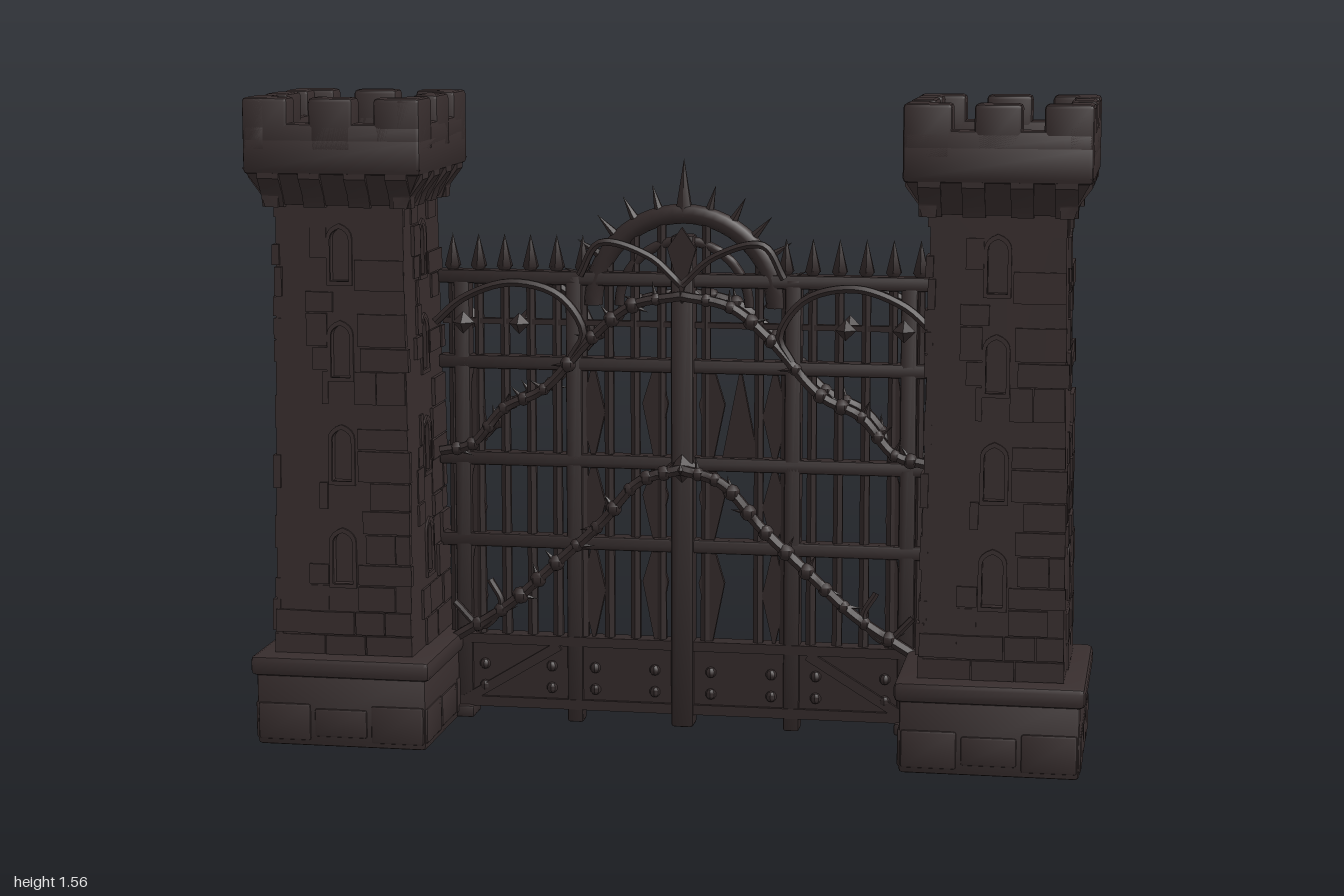
import * as THREE from 'three';
import { mergeGeometries, toCreasedNormals } from 'three/addons/utils/BufferGeometryUtils.js';
import { RoundedBoxGeometry } from 'three/addons/geometries/RoundedBoxGeometry.js';

const stone = new THREE.MeshStandardMaterial({ color: 0x372d2d });
stone.name = 'dark stone';
const iron = new THREE.MeshStandardMaterial({ color: 0x322929 });
iron.name = 'dark iron';

let seed = 7;
const rnd = () => (seed = (seed * 16807) % 2147483647) / 2147483647;
const range = (a, b) => a + (b - a) * rnd();
const flat = g => (g.index ? g.toNonIndexed() : g);
const join = (list, crease = 0.6) => toCreasedNormals(mergeGeometries(list.map(flat)), crease);
const box = (w, h, d, x, y, z) => new THREE.BoxGeometry(w, h, d).translate(x, y, z);
const block = (w, h, d, x, y, z, r = 0.01) => new RoundedBoxGeometry(w, h, d, 1, r).translate(x, y, z);

function add(group, name, geometry, material) {
  const mesh = new THREE.Mesh(geometry, material);
  mesh.name = name;
  group.add(mesh);
  return mesh;
}

// Arched window outline centred on x = 0
function arch(path, y0, w, h) {
  path.moveTo(-w, y0);
  path.lineTo(-w, y0 + h - w);
  path.quadraticCurveTo(-w, y0 + h - w * 0.3, 0, y0 + h);
  path.quadraticCurveTo(w, y0 + h - w * 0.3, w, y0 + h - w);
  path.lineTo(w, y0);
  path.closePath();
  return path;
}

const WINDOWS = [0.395, 0.645, 0.895, 1.125];
const H = 0.178, Y0 = 0.2, Y1 = 1.36;

// Tapered shaft: wall panels with recessed windows and uneven masonry
function shaftGeometry() {
  const parts = [box(2 * H - 0.044, Y1 - Y0, 2 * H - 0.044, 0, (Y0 + Y1) / 2, 0)];
  for (let k = 0; k < 4; k++) {
    const turn = g => parts.push(g.rotateY(k * Math.PI / 2));
    const wall = new THREE.Shape();
    wall.moveTo(-H, Y0); wall.lineTo(H, Y0); wall.lineTo(H, Y1); wall.lineTo(-H, Y1); wall.closePath();
    for (const y of WINDOWS) wall.holes.push(arch(new THREE.Path(), y, 0.026, 0.125));
    turn(new THREE.ExtrudeGeometry(wall, { depth: 0.024, bevelEnabled: false, curveSegments: 4 }).translate(0, 0, H - 0.024));
    // window surrounds
    for (const y of WINDOWS) {
      const frame = arch(new THREE.Shape(), y - 0.01, 0.036, 0.147);
      frame.holes.push(arch(new THREE.Path(), y, 0.026, 0.125));
      turn(new THREE.ExtrudeGeometry(frame, { depth: 0.01, bevelEnabled: false, curveSegments: 4 }).translate(0, 0, H - 0.004));
    }
    // stones
    for (let y = 0.22; y < 1.3;) {
      const h = range(0.05, 0.085);
      const beside = WINDOWS.some(w => y < w + 0.14 && y + h > w - 0.012);
      for (let u = -H - 0.004; u < H - 0.03;) {
        let e = Math.min(u + range(0.07, 0.14), H + 0.004);
        if (H - e < 0.03) e = H + 0.004;
        const next = e;
        let s = u;
        if (beside) {
          if (s < -0.038 && e > -0.038) e = -0.038;
          else if (s < 0.038) s = 0.038;
        }
        if (e - s > 0.02 && rnd() < 0.72) {
          const out = range(0.002, 0.01);
          turn(box(e - s - 0.004, h - 0.004, 0.02, (s + e) / 2, y + h / 2, H - 0.01 + out)
            .rotateZ(range(-0.008, 0.008)));
        }
        u = next;
      }
      y += h;
    }
  }
  const g = join(parts, 0.5), p = g.attributes.position;
  for (let i = 0; i < p.count; i++) {
    const f = 1 - 0.09 * (p.getY(i) - Y0) / (Y1 - Y0);
    p.setX(i, p.getX(i) * f * 0.95);
    p.setZ(i, p.getZ(i) * f * 1.04);
  }
  return toCreasedNormals(g, 0.5);
}

// Stepped footing
function baseGeometry() {
  const parts = [block(0.42, 0.19, 0.45, 0, 0.095, 0), block(0.444, 0.05, 0.476, 0, 0.196, 0, 0.014)];
  for (const s of [-1, 1]) for (let i = 0; i < 3; i++) {
    parts.push(block(0.13, range(0.07, 0.1), 0.02, (i - 1) * 0.14, 0.06, s * 0.22, 0.006));
    parts.push(block(0.02, range(0.07, 0.1), 0.14, s * 0.204, 0.06, (i - 1) * 0.15, 0.006));
  }
  return join(parts);
}

// Flared crown with corbels, parapet and merlons
function crownGeometry() {
  const R = 0.215, q = Math.SQRT2, parts = [];
  parts.push(new THREE.CylinderGeometry(R * q, 0.165 * q, 0.09, 4, 1).rotateY(Math.PI / 4).translate(0, 1.35, 0));
  parts.push(block(2 * R, 0.09, 2 * R, 0, 1.425, 0));
  const corbel = new THREE.Shape([[0.14, 1.3], [0.172, 1.3], [0.182, 1.33], [0.212, 1.37], [0.212, 1.4], [0.14, 1.4]]
    .map(a => new THREE.Vector2(...a)));
  for (let k = 0; k < 4; k++) {
    const turn = g => parts.push(g.rotateY(k * Math.PI / 2));
    turn(block(2 * R, 0.07, 0.062, 0, 1.465, R - 0.031));
    turn(block(0.108, 0.13, 0.062, 0, 1.495, R - 0.031));
    for (const s of [-1, 1]) turn(block(0.112, 0.13, 0.062, s * (R - 0.056), 1.495, R - 0.031));
    for (const u of [-0.155, -0.055, 0.055, 0.155]) {
      turn(new THREE.ExtrudeGeometry(corbel, { depth: 0.052, bevelEnabled: false })
        .translate(0, 0, -0.026).rotateY(-Math.PI / 2).translate(u, 0, 0));
    }
  }
  return join(parts).scale(1, 1, 1.085);
}

// Thin vertical blade, pointed at both ends
function blade(x, y0, y1, w, z, widest = 0.4) {
  const ym = y0 + (y1 - y0) * widest;
  const s = new THREE.Shape([[x, y0], [x + w, ym], [x, y1], [x - w, ym]].map(a => new THREE.Vector2(...a)));
  return new THREE.ExtrudeGeometry(s, { depth: 0.016, bevelEnabled: false }).translate(0, 0, z - 0.008);
}

const tube = (pts, r, n = 24) =>
  new THREE.TubeGeometry(new THREE.CatmullRomCurve3(pts.map(p => new THREE.Vector3(...p))), n, r, 6);

// Thorny vine: a wavering tube with knots and thorns
function vine(pts, r) {
  const curve = new THREE.CatmullRomCurve3(pts.map(p => new THREE.Vector3(...p)));
  const parts = [new THREE.TubeGeometry(curve, 36, r, 6)];
  for (let i = 1; i < 12; i++) {
    const c = curve.getPoint(i / 12);
    parts.push(new THREE.SphereGeometry(r * range(1.2, 1.6), 6, 5).translate(c.x, c.y, c.z));
    parts.push(new THREE.ConeGeometry(r * 0.7, 0.045, 5).translate(0, 0.022, 0)
      .rotateZ(range(-2, 2)).translate(c.x, c.y, c.z));
  }
  return parts;
}

const Z = -0.13;

function createGate() {
  const gate = new THREE.Group();
  gate.name = 'gate';

  // Cross rails
  const rails = [1.11, 0.9, 0.66, 0.455].map(y => block(1.22, 0.034, 0.045, 0, y, Z, 0.006));
  rails.push(box(1.2, 0.014, 0.02, 0, 1.0, Z), box(1.2, 0.024, 0.05, 0, 0.205, Z));
  add(gate, 'crossRails', join(rails), iron);

  // Pickets with spear tips
  const pickets = [];
  for (const s of [-1, 1]) for (let i = 0; i < 9; i++) {
    const x = s * (0.575 - i * 0.065), outer = i < 6;
    const top = outer ? 1.15 : 1.05 + Math.sqrt(0.05 - x * x) - 0.01;
    if (!(s > 0 && i === 7)) pickets.push(new THREE.CylinderGeometry(0.012, 0.014, top - 0.18, 6).translate(x, (top + 0.18) / 2, Z));
    if (outer) {
      pickets.push(new THREE.ConeGeometry(0.021, 0.08, 6).translate(x, 1.175, Z));
      pickets.push(new THREE.ConeGeometry(0.021, 0.03, 6).rotateX(Math.PI).translate(x, 1.122, Z));
    }
  }
  add(gate, 'pickets', join(pickets, 0.9), iron);

  // Heavy uprights reaching the ground
  const posts = [block(0.056, 1.22, 0.06, 0, 0.61, Z, 0.008)];
  for (const s of [-1, 1]) {
    posts.push(block(0.04, 1.12, 0.045, s * 0.27, 0.56, Z, 0.006), block(0.04, 1.08, 0.045, s * 0.55, 0.56, Z, 0.006));
    posts.push(block(0.05, 0.03, 0.08, s * 0.55, 0.02, Z, 0.006));
  }
  posts.push(new THREE.OctahedronGeometry(0.045).translate(0, 1.07, Z), new THREE.OctahedronGeometry(0.045).translate(0, 0.65, Z + 0.02));
  add(gate, 'uprights', join(posts), iron);

  // Ragged blades filling parts of the bays
  const blades = [];
  for (const s of [-1, 1]) for (const [y0, y1] of [[0.2, 0.47], [0.44, 0.67], [0.65, 0.91]]) {
    blades.push(blade(s * 0.07, y0, y1, 0.032, Z, 0.6), blade(s * 0.225, y0, y1, 0.03, Z, 0.5));
    blades.push(blade(s * 0.52, y0, y1, 0.024, Z, 0.4));
  }
  blades.push(blade(0.14, 0.65, 0.9, 0.045, Z, 0.08));
  add(gate, 'blades', join(blades), iron);

  // Bottom kick panel with braces and rivets
  const panel = [box(1.18, 0.16, 0.03, 0, 0.12, Z), box(1.18, 0.025, 0.05, 0, 0.045, Z)];
  for (const s of [-1, 1]) {
    panel.push(box(0.28, 0.024, 0.05, 0, 0, 0).rotateZ(-s * 0.55).translate(s * 0.43, 0.12, Z));
    for (const x of [0.07, 0.22, 0.33, 0.5]) for (const y of [0.085, 0.14]) for (const d of [-1, 1])
      panel.push(new THREE.SphereGeometry(0.014, 8, 5).translate(s * x, y, Z + d * 0.016));
  }
  add(gate, 'kickPanel', join(panel), iron);

  // Arch with radiating spikes
  const crest = [];
  for (const [r, t] of [[0.225, 0.024], [0.16, 0.012]])
    crest.push(new THREE.TorusGeometry(r, t, 8, 28, Math.PI).translate(0, 1.045, Z));
  for (let i = -5; i <= 5; i++) {
    const a = i * 0.25, len = i === 0 ? 0.14 : 0.085;
    crest.push(new THREE.ConeGeometry(i === 0 ? 0.024 : 0.016, len, 6).translate(0, 0.24 + len / 2 - 0.01, 0)
      .rotateZ(a).translate(0, 1.035, Z));
  }
  crest.push(blade(0, 1.07, 1.24, 0.035, Z + 0.03, 0.7));
  add(gate, 'spikedArch', join(crest, 0.9), iron);

  // Vines and scrolls on both faces
  const vines = [], scrolls = [];
  for (const s of [-1, 1]) {
    for (const z of [-0.085, -0.178]) {
      vines.push(...vine([[0, 1.075, z], [s * 0.12, 1.05, z], [s * 0.22, 0.97, z], [s * 0.34, 0.84, z], [s * 0.44, 0.79, z], [s * 0.52, 0.7, z], [s * 0.6, 0.68, z]], 0.013));
      scrolls.push(tube([[s * 0.61, 1.0, z], [s * 0.54, 1.06, z], [s * 0.42, 1.1, z], [s * 0.3, 1.07, z], [s * 0.24, 0.98, z], [s * 0.27, 0.92, z]], 0.011));
      scrolls.push(new THREE.OctahedronGeometry(0.028).translate(s * 0.54, 1.0, z), new THREE.OctahedronGeometry(0.026).translate(s * 0.4, 1.0, z));
    }
    vines.push(...vine([[0, 0.65, -0.085], [s * 0.1, 0.62, -0.08], [s * 0.2, 0.51, -0.085], [s * 0.32, 0.4, -0.08], [s * 0.43, 0.3, -0.085], [s * 0.57, 0.21, -0.09]], 0.014));
    scrolls.push(tube([[s * 0.25, 1.12, -0.09], [s * 0.2, 1.2, -0.085], [s * 0.08, 1.17, -0.09], [0, 1.1, -0.09]], 0.01));
    scrolls.push(tube([[s * 0.48, 0.36, -0.09], [s * 0.45, 0.3, -0.085], [s * 0.5, 0.24, -0.09], [s * 0.57, 0.3, -0.09]], 0.009));
  }
  add(gate, 'vines', join(vines, 1), iron);
  add(gate, 'scrolls', join(scrolls, 1), iron);
  return gate;
}

export function createModel() {
  const model = new THREE.Group();
  model.name = 'castleGate';
  const shaft = shaftGeometry(), base = baseGeometry(), crown = crownGeometry();
  for (const [side, name] of [[1, 'leftTower'], [-1, 'rightTower']]) {
    const tower = new THREE.Group();
    tower.name = name;
    tower.position.x = side * 0.777;
    add(tower, 'base', base, stone);
    add(tower, 'shaft', shaft, stone);
    add(tower, 'crown', crown, stone);
    model.add(tower);
  }
  model.add(createGate());
  return model;
}
